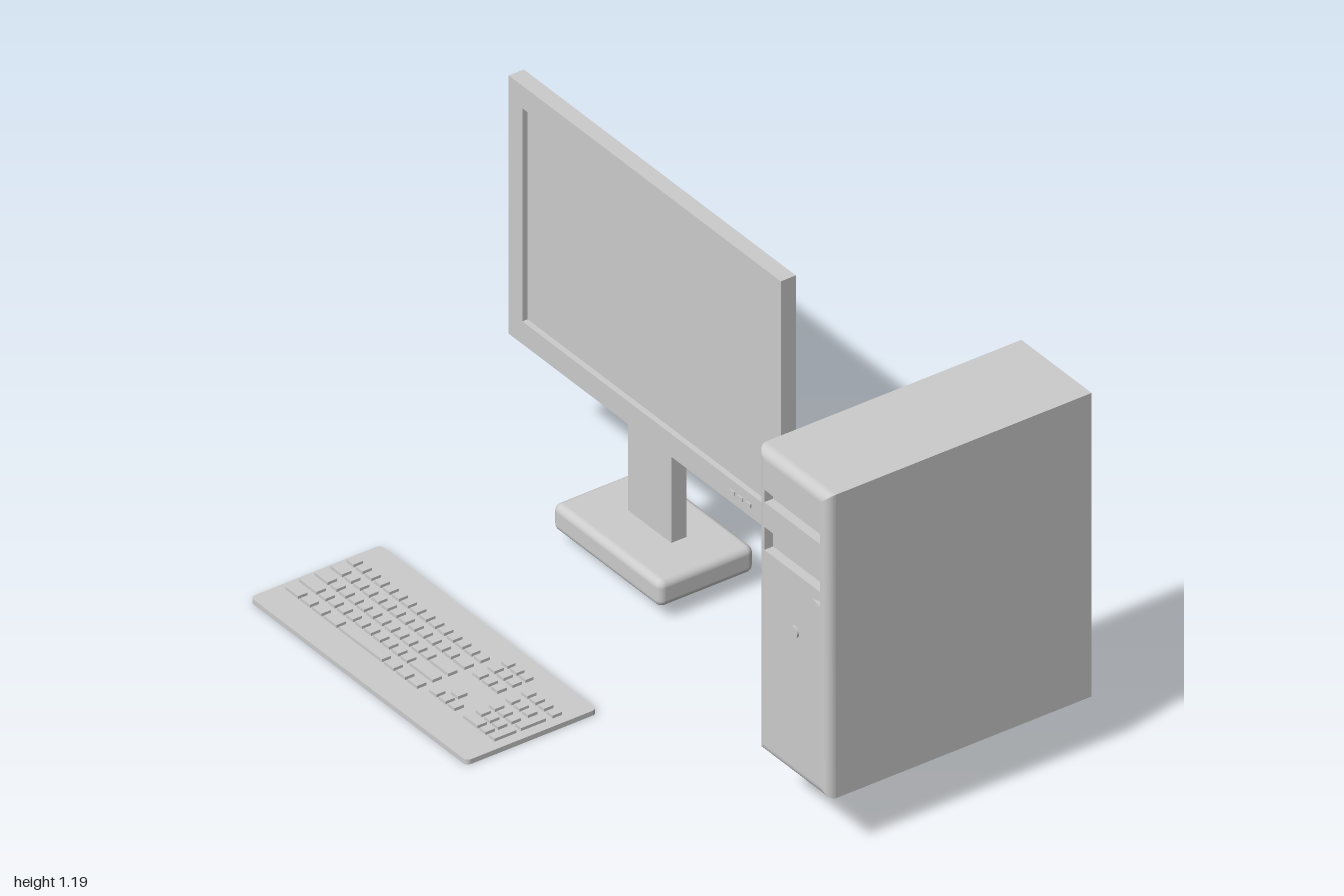
import * as THREE from 'three';
import { mergeGeometries } from 'three/addons/utils/BufferGeometryUtils.js';
import { RoundedBoxGeometry } from 'three/addons/geometries/RoundedBoxGeometry.js';

const grey = new THREE.MeshStandardMaterial({ color: 0xcccccc });

function add(parent, name, geometry, x = 0, y = 0, z = 0) {
  const mesh = new THREE.Mesh(geometry, grey);
  mesh.name = name;
  mesh.position.set(x, y, z);
  parent.add(mesh);
  return mesh;
}

// Box given by its limits on each axis
function boxGeo(x0, x1, y0, y1, z0, z1) {
  return new THREE.BoxGeometry(x1 - x0, y1 - y0, z1 - z0)
    .translate((x0 + x1) / 2, (y0 + y1) / 2, (z0 + z1) / 2);
}

// Polygon outline, usable as a shape or as a hole
function poly(points, Type = THREE.Path) {
  return new Type(points.map(([x, y]) => new THREE.Vector2(x, y)));
}
const rect = (x0, x1, y0, y1, Type) => poly([[x0, y0], [x1, y0], [x1, y1], [x0, y1]], Type);

// Flat plate with holes, from z0 to z1
function plate(outline, holes, z0, z1) {
  outline.holes.push(...holes);
  return new THREE.ExtrudeGeometry(outline, { depth: z1 - z0, bevelEnabled: false }).translate(0, 0, z0);
}

// Quarter-round border running around a rectangle, bulging toward +z
function roundedBorder(x0, x1, y0, y1, z0, r, steps = 8) {
  const parts = [];
  const corners = [[x0, y0, 1, 1], [x1, y0, -1, 1], [x1, y1, -1, -1], [x0, y1, 1, -1]];
  for (let side = 0; side < 4; side++) {
    const pos = [], idx = [];
    for (let i = 0; i <= steps; i++) {
      const a = (i / steps) * Math.PI / 2;
      const inset = r * (1 - Math.cos(a));
      for (const c of [corners[side], corners[(side + 1) % 4]]) {
        pos.push(c[0] + c[2] * inset, c[1] + c[3] * inset, z0 + r * Math.sin(a));
      }
      if (i < steps) {
        const k = i * 2;
        idx.push(k, k + 1, k + 3, k, k + 3, k + 2);
      }
    }
    const g = new THREE.BufferGeometry();
    g.setAttribute('position', new THREE.Float32BufferAttribute(pos, 3));
    g.setIndex(idx);
    g.computeVertexNormals();
    parts.push(g);
  }
  return mergeGeometries(parts);
}

function createMonitor() {
  const g = new THREE.Group();
  g.name = 'monitor';
  const back = -0.309, front = -0.261, recess = -0.278;
  add(g, 'monitorBackAndScreen', boxGeo(-1, 0.2, 0.39, 1.19, back, recess));
  add(g, 'screenFrame', plate(rect(-1, 0.2, 0.39, 1.19, THREE.Shape),
    [rect(-0.94, 0.14, 0.46, 1.12)], recess, front));
  add(g, 'monitorNeck', boxGeo(-0.475, -0.283, 0.1, 0.39, back, front));
  add(g, 'monitorBase', new RoundedBoxGeometry(0.475, 0.082, 0.306, 4, 0.022), -0.382, 0.082, -0.276);
  for (let i = 0; i < 3; i++) {
    add(g, 'monitorButton', new THREE.BoxGeometry(0.02, 0.012, 0.008), -0.012 + i * 0.036, 0.425, front);
  }
  return g;
}

function createTower() {
  const g = new THREE.Group();
  g.name = 'tower';
  const x0 = 0.69, x1 = 1, y0 = 0.17, y1 = 1.11, r = 0.028, z = 0.142, front = z + r;
  add(g, 'towerCase', boxGeo(x0, x1, y0, y1, -0.675, z));
  add(g, 'towerFrontBorder', roundedBorder(x0, x1, y0, y1, z, r));
  // Front panel with two drive slots and a small triangular indicator
  add(g, 'towerFrontPanel', plate(
    rect(x0 + r, x1 - r, y0 + r, y1 - r, THREE.Shape),
    [rect(0.722, 0.968, 0.95, 0.988), rect(0.722, 0.968, 0.802, 0.873),
      poly([[0.934, 0.764], [0.967, 0.756], [0.967, 0.772]])],
    z, front));
  add(g, 'powerButton', new THREE.CylinderGeometry(0.017, 0.017, 0.012, 24).rotateX(Math.PI / 2),
    0.858, 0.622, front);
  return g;
}

function createKeyboard() {
  const g = new THREE.Group();
  g.name = 'keyboard';
  const x0 = -0.85, x1 = 0.105, z0 = 0.257, z1 = 0.675, r = 0.015, top = 0.015;

  // Thin board with rounded corners, drawn flat with -z as up
  const s = new THREE.Shape();
  s.absarc(x1 - r, -z0 - r, r, 0, Math.PI / 2);
  s.absarc(x0 + r, -z0 - r, r, Math.PI / 2, Math.PI);
  s.absarc(x0 + r, -z1 + r, r, Math.PI, Math.PI * 1.5);
  s.absarc(x1 - r, -z1 + r, r, Math.PI * 1.5, Math.PI * 2);
  add(g, 'keyboardBoard', plate(s, [], 0, top).rotateX(-Math.PI / 2));

  const keys = [];
  const key = (x, w, z, d = 0.03) => keys.push(boxGeo(x, x + w, top - 0.002, 0.024, z, z + d));
  // Row of keys with given widths in key units, spread between two x limits
  const row = (left, right, z, units, d) => {
    const unit = (right - left + 0.01) / units.reduce((a, b) => a + b, 0);
    let x = left;
    for (const u of units) {
      key(x, u * unit - 0.01, z, d);
      x += u * unit;
    }
  };
  const ones = (n) => Array(n).fill(1);

  // Main block
  row(-0.835, -0.245, 0.347, ones(15));
  row(-0.835, -0.245, 0.398, [1.5, ...ones(12), 1.5]);
  row(-0.835, -0.245, 0.45, [1.7, ...ones(11), 2.3]);
  row(-0.835, -0.245, 0.5, [2.2, ...ones(10), 2.8]);
  row(-0.825, -0.6, 0.55, [1.3, 1, 1, 1.3]);
  key(-0.59, 0.19, 0.55);
  row(-0.39, -0.245, 0.55, ones(3));

  // Navigation keys and arrows
  row(-0.213, -0.103, 0.31, ones(3), 0.025);
  row(-0.213, -0.103, 0.347, ones(3));
  row(-0.213, -0.103, 0.395, ones(3));
  key(-0.173, 0.03, 0.493);
  row(-0.213, -0.103, 0.533, ones(3));

  // Number pad
  for (const z of [0.347, 0.398, 0.45, 0.493]) row(-0.065, 0.035, z, ones(3));
  row(-0.065, 0.035, 0.533, [2, 1]);
  key(0.047, 0.027, 0.347);
  key(0.047, 0.027, 0.398, 0.08);
  key(0.047, 0.027, 0.493, 0.07);

  add(g, 'keys', mergeGeometries(keys));
  return g;
}

export function createModel() {
  const model = new THREE.Group();
  model.name = 'desktopComputer';
  model.add(createMonitor(), createTower(), createKeyboard());
  return model;
}
